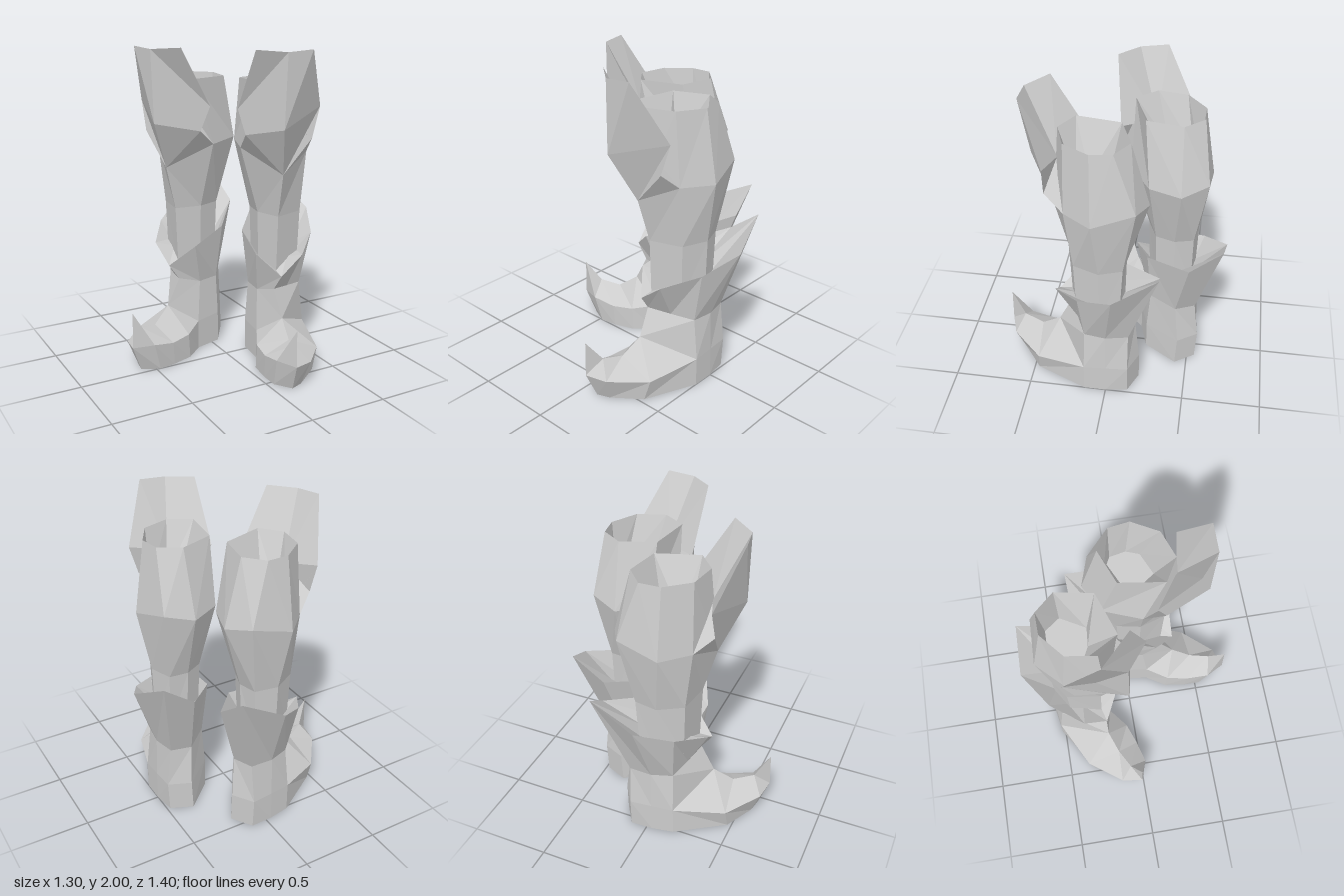
import * as THREE from 'three';

const material = new THREE.MeshStandardMaterial({
  color: 0xcccccc, flatShading: true, side: THREE.DoubleSide,
});

function meshFrom(name, triangles) {
  const geo = new THREE.BufferGeometry();
  geo.setAttribute('position', new THREE.Float32BufferAttribute(triangles.flat(2), 3));
  geo.computeVertexNormals();
  const mesh = new THREE.Mesh(geo, material);
  mesh.name = name;
  return mesh;
}

// Triangles joining rows of points, each row above the last; points may coincide
function skin(rows, closed) {
  const tris = [];
  const n = rows[0].length;
  for (let r = 0; r < rows.length - 1; r++) {
    for (let i = 0; i < (closed ? n : n - 1); i++) {
      const j = (i + 1) % n;
      const a = rows[r][i], b = rows[r][j], c = rows[r + 1][j], d = rows[r + 1][i];
      tris.push([a, b, c], [a, c, d]);
    }
  }
  return tris.filter(([a, b, c]) => a !== b && b !== c && c !== a);
}

// Triangles from one point to each step of a row
const fan = (tip, row) => row.slice(1).map((p, i) => [tip, row[i], p]);

// Level row of points from x, z pairs
const level = (y, pairs) => pairs.map(([x, z]) => [x, y, z]);

function createBoot() {
  const boot = new THREE.Group();

  // Leg: seven sides, from the front round by the inner side; lining and floor inside
  const ankle = level(0.6, [[0.22, 0.25], [0.18, 0.1], [0.21, -0.04], [0.32, -0.1],
    [0.43, -0.08], [0.47, 0.04], [0.41, 0.19]]);
  const shin = level(0.97, [[0.22, 0.265], [0.17, 0.1], [0.2, -0.05], [0.31, -0.11],
    [0.43, -0.1], [0.48, 0.04], [0.42, 0.2]]);
  const calf = [[0.2, 1.25, 0.345], [0.05, 1.39, 0.09], [0.14, 1.4, -0.15], [0.32, 1.39, -0.24],
    [0.49, 1.43, -0.18], [0.55, 1.36, 0.07], [0.43, 1.36, 0.245]];
  const rim = level(1.8, [[0.22, 0.3], [0.08, 0.22], [0.12, -0.05], [0.33, -0.13],
    [0.46, -0.05], [0.48, 0.08], [0.39, 0.24]]);
  const floor = level(1.5, [[0.28, 0.19], [0.23, 0.12], [0.2, 0.01], [0.33, -0.1],
    [0.43, -0.05], [0.45, 0.05], [0.42, 0.13]]);
  // Rows reversed to face outward
  const legRows = [ankle, shin, calf, rim, floor].map((row) => row.slice().reverse());
  boot.add(meshFrom('leg', [
    ...skin(legRows, true),
    ...fan([0.33, 1.5, 0.05], [...legRows[4], legRows[4][0]]),
  ]));

  // Foot: sole outline, widest outline, then ankle edge running into the toe ridge
  const outerSole = [0.5, 0, 0.14];
  const outerSide = [0.5, 0.19, 0.14];
  const instep = [0.21, 0.33, 0.345];
  const ridge = [0.18, 0.24, 0.47];
  const toeRidge = [0.14, 0.265, 0.6];
  const ankleFront = [0.2, 0.5, 0.26];
  const sole = [[0.48, 0, -0.14], [0.34, 0, -0.2], [0.16, 0, -0.03], [0.14, 0, 0.15], [0.06, 0, 0.28],
    [0.04, 0, 0.42], [0.04, 0, 0.53], [0.11, 0, 0.63], [0.19, 0, 0.6], [0.36, 0, 0.47],
    outerSole, outerSole, [0.5, 0, 0]];
  const side = [[0.49, 0.2, -0.14], [0.35, 0.2, -0.2], [0.16, 0.2, -0.03], [0.14, 0.19, 0.15], [0.06, 0.16, 0.29],
    [0.035, 0.15, 0.43], [0.025, 0.18, 0.58], [0.09, 0.17, 0.7], [0.22, 0.16, 0.655], [0.4, 0.14, 0.46],
    outerSide, outerSide, [0.5, 0.2, 0]];
  const upper = [[0.46, 0.46, -0.14], [0.33, 0.46, -0.17], [0.18, 0.46, -0.03], [0.16, 0.46, 0.12], instep,
    ridge, toeRidge, [0.09, 0.4, 0.695], toeRidge, ridge,
    instep, [0.47, 0.46, 0.135], [0.49, 0.46, 0]];
  boot.add(meshFrom('foot', [
    ...skin([sole, side, upper], true),
    ...fan([0.3, 0, 0.2], [...sole, sole[0]].reverse()),
    [upper[3], instep, ankleFront],
    [instep, upper[11], ankleFront],
  ]));

  // Ankle cuff: flares up to a point at the back, folds in to the leg
  boot.add(meshFrom('ankleCuff', skin([
    [upper[0], upper[1], upper[2], upper[3],
      ankleFront, [0.335, 0.48, 0.2], upper[11], upper[12]],
    [[0.58, 1.05, -0.33], [0.38, 0.9, -0.32], [0.15, 0.81, -0.06], [0.1, 0.73, 0.2],
      [0.21, 0.6, 0.33], [0.36, 0.72, 0.33], [0.54, 0.8, 0.16], [0.65, 0.9, -0.06]],
    [[0.42, 0.7, -0.08], [0.32, 0.7, -0.09], [0.21, 0.7, -0.03], [0.18, 0.68, 0.1],
      [0.22, 0.62, 0.24], [0.33, 0.68, 0.2], [0.42, 0.7, 0.16], [0.46, 0.7, 0.04]],
  ], true)));

  // Knee guard: tall faceted plate rising from the calf, with a hollow behind it
  const root = [calf[1], calf[0], calf[6]];
  const low = [[0.01, 1.49, 0.22], calf[0], [0.39, 1.46, 0.36]];
  const middle = [[-0.01, 1.64, 0.16], [0.11, 1.55, 0.49], [0.45, 1.65, 0.35]];
  const top = [[-0.02, 2, 0.38], [0.12, 1.99, 0.5], [0.29, 2, 0.5]];
  boot.add(meshFrom('kneeGuard', [
    ...skin([root, low, middle, top], false),
    ...fan([0.215, 1.6, 0.31], [root[2], low[2], middle[2], ...top.slice().reverse(), middle[0]]),
  ]));
  return boot;
}

export function createModel() {
  const model = new THREE.Group();
  model.name = 'armouredBoots';

  const leftBoot = createBoot();
  leftBoot.name = 'leftBoot';

  // Mirrored partner, turned to stand beside and slightly behind
  const rightBoot = createBoot();
  rightBoot.name = 'rightBoot';
  rightBoot.scale.x = -1;
  rightBoot.rotation.y = -1.39;
  rightBoot.position.set(0.053, 0, -0.053);

  model.add(leftBoot, rightBoot);
  return model;
}
